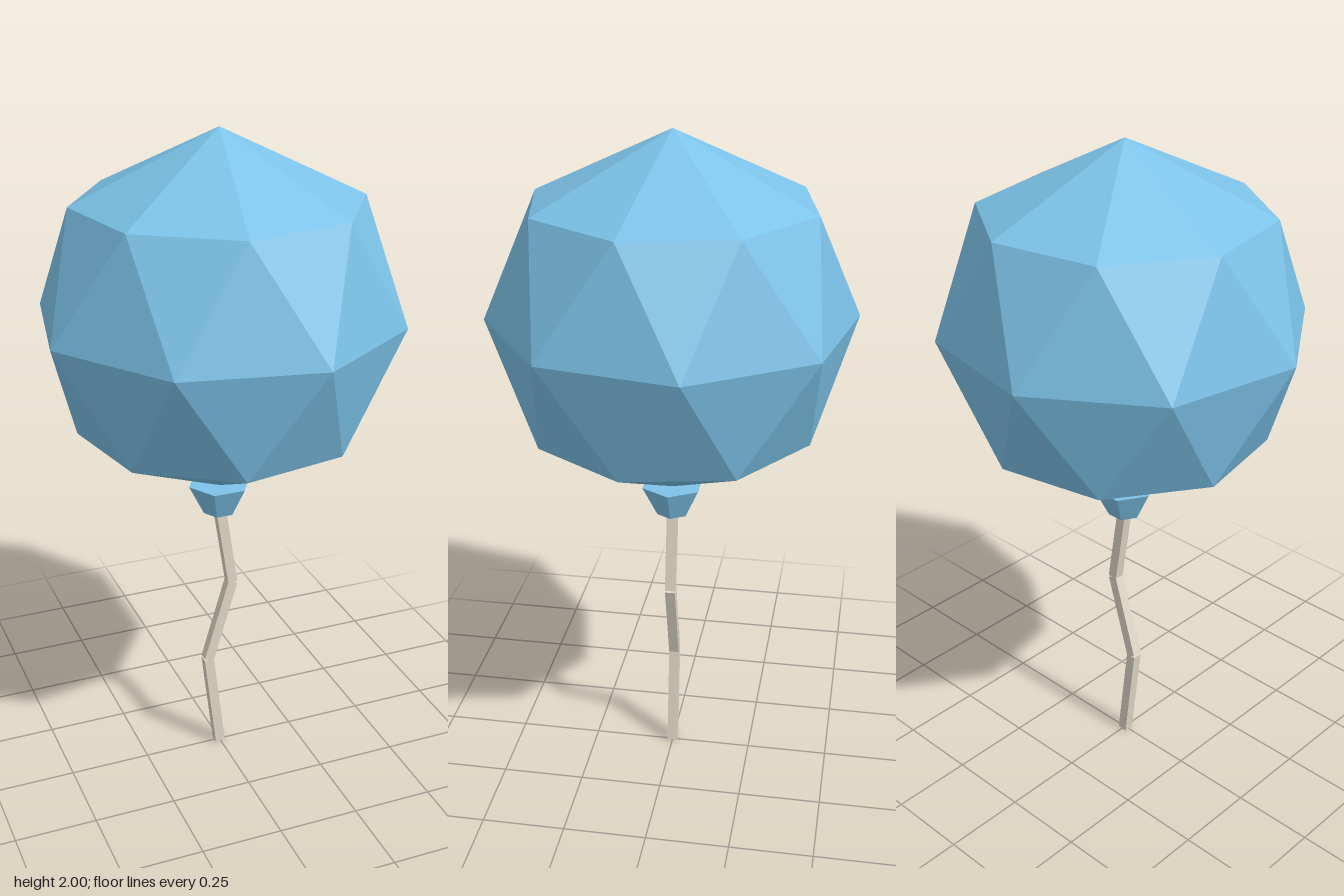
import * as THREE from 'three';

const blue = new THREE.MeshStandardMaterial({ color: 0x7cc2e8, flatShading: true });
const beige = new THREE.MeshStandardMaterial({ color: 0xe0d8c6, flatShading: true });

// Faceted balloon: three staggered eight-sided rings closed by two tips
function balloonGeometry() {
  const n = 8, step = (Math.PI * 2) / n, twist = step / 4;
  const ring = (y, r, offset) => Array.from({ length: n }, (_, k) =>
    [r * Math.cos(k * step + offset), y, r * Math.sin(k * step + offset)]);
  const upper = ring(1.797, 0.42, twist);
  const middle = ring(1.463, 0.538, -twist);
  const lower = ring(1.129, 0.42, twist);
  const top = [0, 2, 0], bottom = [0, 0.926, 0];

  const corners = [];
  const face = (...points) => points.forEach((p) => corners.push(...p));
  for (let k = 0; k < n; k++) {
    const j = (k + 1) % n;
    face(top, upper[j], upper[k]);
    face(upper[k], upper[j], middle[j]);
    face(upper[k], middle[j], middle[k]);
    face(lower[k], middle[k], middle[j]);
    face(lower[j], lower[k], middle[j]);
    face(bottom, lower[k], lower[j]);
  }
  const geometry = new THREE.BufferGeometry();
  geometry.setAttribute('position', new THREE.Float32BufferAttribute(corners, 3));
  geometry.computeVertexNormals();
  return geometry;
}

// Square bar from point a to point b in the x-y plane
function stringSegment(a, b, width) {
  const dx = b[0] - a[0], dy = b[1] - a[1];
  const mesh = new THREE.Mesh(new THREE.BoxGeometry(width, Math.hypot(dx, dy), width), beige);
  mesh.position.set((a[0] + b[0]) / 2, (a[1] + b[1]) / 2, 0);
  mesh.rotation.z = Math.atan2(dy, dx) - Math.PI / 2;
  return mesh;
}

export function createModel() {
  const model = new THREE.Group();
  model.name = 'balloon';

  const body = new THREE.Mesh(balloonGeometry(), blue);
  body.name = 'balloonBody';
  model.add(body);

  // Six-sided flared knot
  const knot = new THREE.Mesh(new THREE.CylinderGeometry(0.097, 0.05, 0.095, 6), blue);
  knot.name = 'knot';
  knot.rotation.y = Math.PI / 2;
  knot.position.y = 0.888;
  model.add(knot);

  // Zigzag string
  const string = new THREE.Group();
  string.name = 'string';
  const path = [[0, 0.85], [0.04, 0.59], [-0.04, 0.323], [-0.002, 0.002]];
  for (let i = 0; i < path.length - 1; i++) {
    const segment = stringSegment(path[i], path[i + 1], 0.031);
    segment.name = `stringSegment${i + 1}`;
    string.add(segment);
  }
  model.add(string);

  return model;
}
